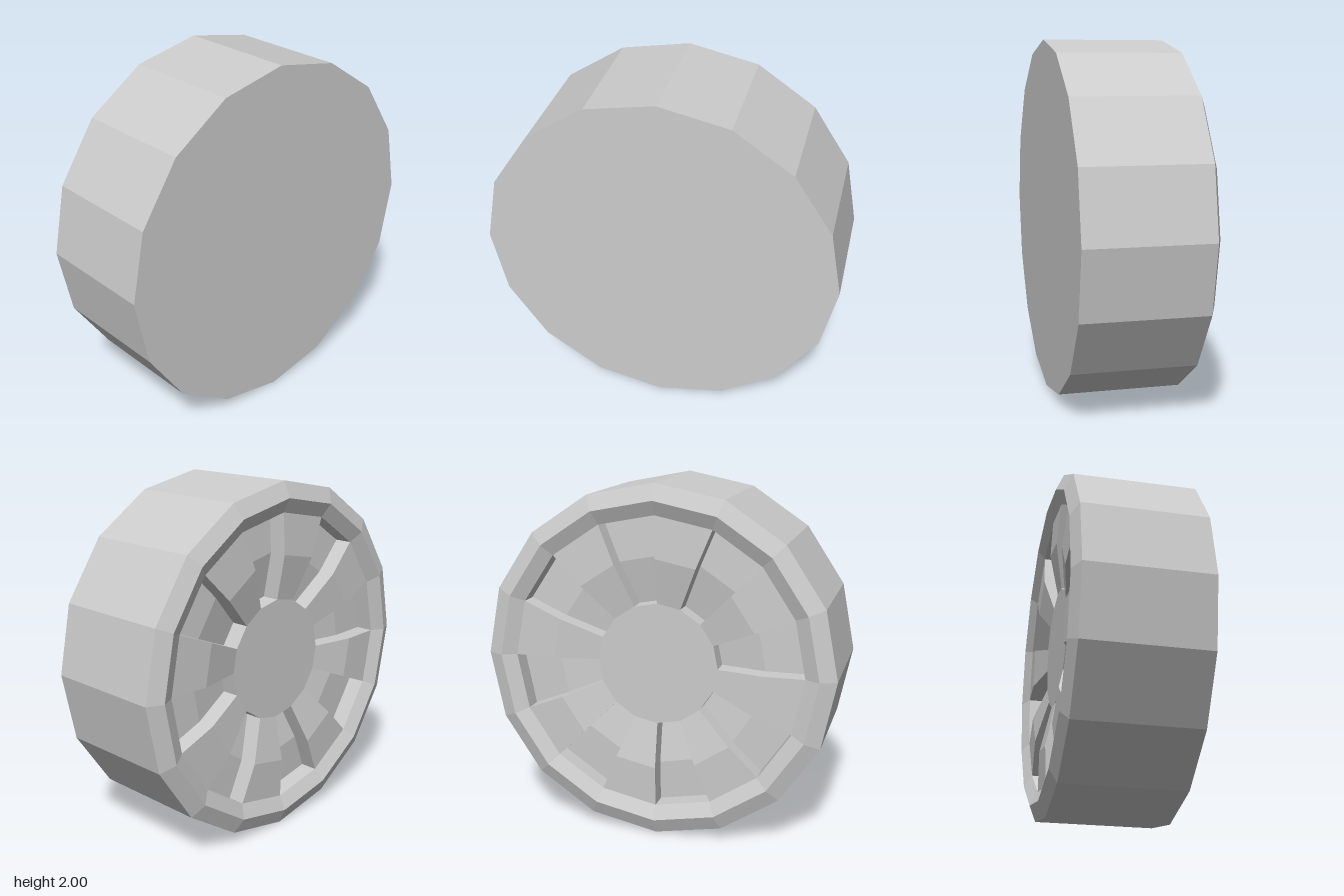
import * as THREE from 'three';

const SIDES = 16;
const STEP = (Math.PI * 2) / SIDES;
const SLOT_DEPTH = 0.1;

const material = new THREE.MeshStandardMaterial({ color: 0xcccccc, flatShading: true });
const wallMaterial = new THREE.MeshStandardMaterial({
  color: 0xcccccc, flatShading: true, side: THREE.DoubleSide,
});

// Profiles are [radius, position along the axle]
const TYRE = [[0.83, -0.325], [0.91, -0.365], [1, -0.325], [1, 0.36], [0, 0.36]];
const SPOKE = [[0.345, -0.285], [0.6, -0.335], [0.83, -0.325]];
const SLOT = [
  SPOKE[0],
  ...SPOKE.map(([r, h]) => [r, h + SLOT_DEPTH]),
  SPOKE[2],
];
const HUB = [[0, -0.285], SPOKE[0]];

function lathe(name, profile, segments = SIDES, start = 0) {
  const points = profile.map(([r, h]) => new THREE.Vector2(r, h));
  const geometry = new THREE.LatheGeometry(points, segments, start, segments * STEP);
  const mesh = new THREE.Mesh(geometry, material);
  mesh.name = name;
  return mesh;
}

// Radial side of a spoke, from its face down to the slot floor
function spokeWall(angle) {
  const geometry = new THREE.PlaneGeometry(1, 1, SPOKE.length - 1, 1);
  const position = geometry.attributes.position;
  for (let i = 0; i < position.count; i++) {
    const [r, h] = SPOKE[i % SPOKE.length];
    const drop = i < SPOKE.length ? 0 : SLOT_DEPTH;
    position.setXYZ(i, r * Math.sin(angle), h + drop, r * Math.cos(angle));
  }
  geometry.computeVertexNormals();
  const mesh = new THREE.Mesh(geometry, wallMaterial);
  mesh.name = 'spokeWall';
  return mesh;
}

export function createModel() {
  const wheel = new THREE.Group();
  wheel.name = 'wheel';

  // Tyre with bevelled lip and flat inner side, and the hub disc
  wheel.add(lathe('tyre', TYRE), lathe('hub', HUB));

  // Rim: spokes alternating with recessed slots
  const rim = new THREE.Group();
  rim.name = 'rim';
  for (let i = 0; i < SIDES; i++) {
    const isSlot = i % 2 === 1;
    rim.add(lathe(isSlot ? 'slot' : 'spoke', isSlot ? SLOT : SPOKE, 1, i * STEP));
    rim.add(spokeWall(i * STEP));
  }
  wheel.add(rim);

  // Lay the axle along x and stand the wheel on the floor
  wheel.rotation.z = -Math.PI / 2;
  wheel.position.y = 1;

  const model = new THREE.Group();
  model.name = 'wheelModel';
  model.add(wheel);
  return model;
}
